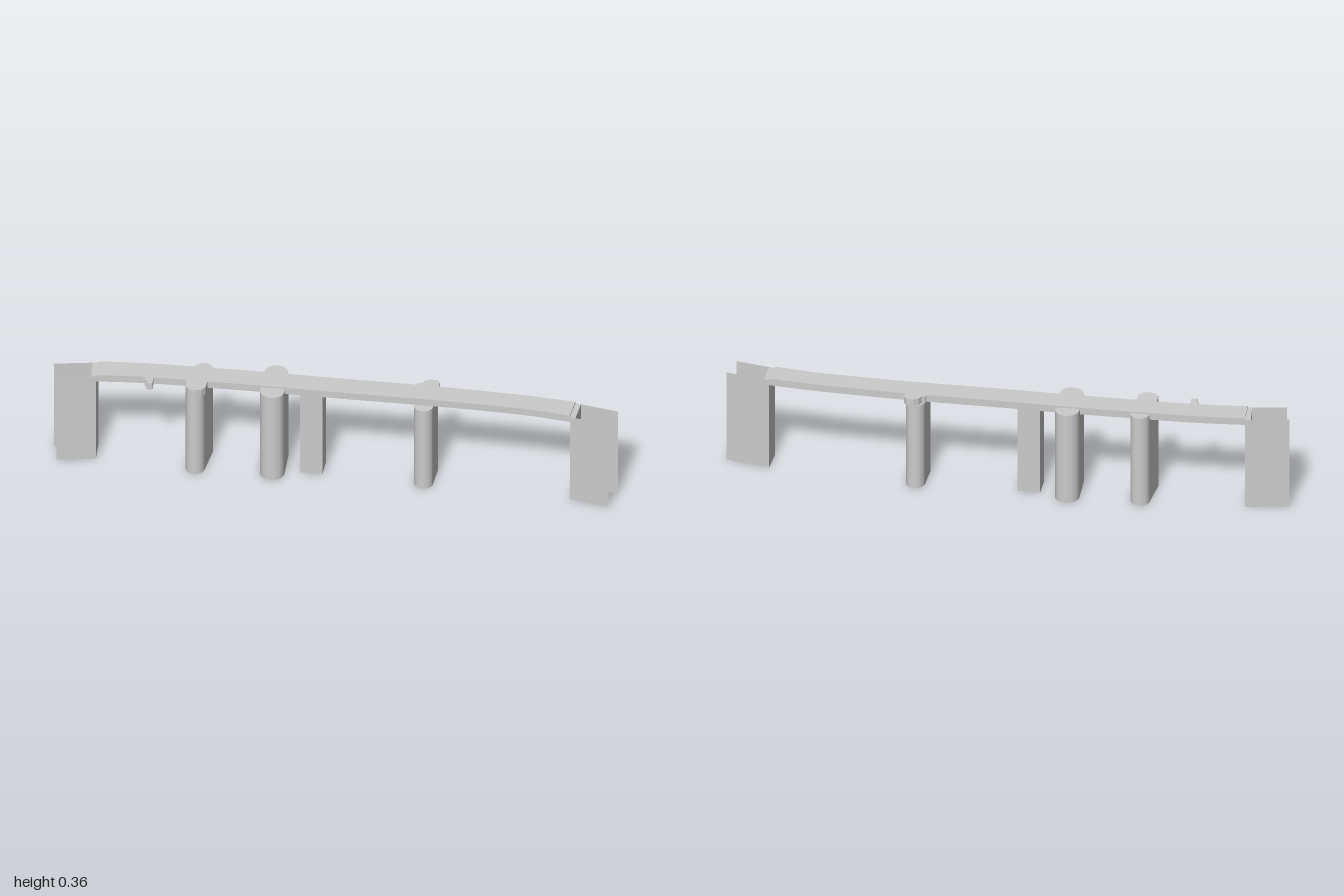
import * as THREE from 'three';

const material = new THREE.MeshStandardMaterial({ color: 0xcccccc, flatShading: true });
const smooth = new THREE.MeshStandardMaterial({ color: 0xcccccc });
const thin = new THREE.MeshStandardMaterial({ color: 0xcccccc, side: THREE.DoubleSide });

// Plan outline in [x, z], raised from y0 to y1
function prism(name, plan, y0, y1, mat = material) {
  const shape = new THREE.Shape(plan.map(([x, z]) => new THREE.Vector2(x, -z)));
  const geometry = new THREE.ExtrudeGeometry(shape, { depth: y1 - y0, bevelEnabled: false });
  geometry.rotateX(-Math.PI / 2).translate(0, y0, 0);
  const mesh = new THREE.Mesh(geometry, mat);
  mesh.name = name;
  return mesh;
}

// Round-ended plan running from a back point to a front point
function capsulePlan([bx, bz], [fx, fz], r, steps = 12) {
  const angle = Math.atan2(fz - bz, fx - bx);
  const plan = [];
  for (const [x, z, turn] of [[fx, fz, -Math.PI / 2], [bx, bz, Math.PI / 2]]) {
    for (let i = 0; i <= steps; i++) {
      const a = angle + turn + (i / steps) * Math.PI;
      plan.push([x + r * Math.cos(a), z + r * Math.sin(a)]);
    }
  }
  return plan;
}

// Sample a smooth deck edge given as [x, z] points
function edge(points) {
  const curve = new THREE.CatmullRomCurve3(points.map(([x, z]) => new THREE.Vector3(x, 0, z)));
  return curve.getPoints(32).map((p) => [p.x, p.z]);
}

// Upright sheet between two plan points
function wall(name, [x0, z0], [x1, z1], height) {
  const geometry = new THREE.PlaneGeometry(Math.hypot(x1 - x0, z1 - z0), height);
  geometry.rotateY(-Math.atan2(z1 - z0, x1 - x0));
  geometry.translate((x0 + x1) / 2, height / 2, (z0 + z1) / 2);
  const mesh = new THREE.Mesh(geometry, thin);
  mesh.name = name;
  return mesh;
}

export function createModel() {
  const group = new THREE.Group();
  const under = 0.335, top = 0.362, wallTop = 0.356;

  // Curved deck
  const back = edge([[-0.845, -0.066], [-0.68, -0.073], [-0.4, -0.069], [-0.2, -0.064],
    [0, -0.055], [0.3, -0.046], [0.5, -0.035], [0.7, -0.02], [0.845, -0.003]]);
  const front = edge([[-0.845, 0.017], [-0.68, 0.009], [-0.4, 0.014], [-0.2, 0.02],
    [0, 0.028], [0.3, 0.037], [0.5, 0.046], [0.7, 0.061], [0.835, 0.081]]);
  group.add(prism('deck', [...back, ...front.reverse()], under, top));

  // Abutments with thin wing walls
  const abutments = [
    { side: 'right', inner: [[-0.845, -0.066], [-0.845, 0.017]],
      outer: [[-0.866, -0.064], [-0.86, 0.02]], ends: [[-1, -0.044], [-0.982, 0.036]] },
    { side: 'left', inner: [[0.845, -0.003], [0.835, 0.081]],
      outer: [[0.865, 0.001], [0.855, 0.085]], ends: [[1, 0.03], [0.975, 0.111]] },
  ];
  for (const { side, inner, outer, ends } of abutments) {
    group.add(prism(`${side}Abutment`, [inner[0], inner[1], outer[1], outer[0]], 0, wallTop));
    group.add(wall(`${side}BackWingWall`, outer[0], ends[0], wallTop));
    group.add(wall(`${side}FrontWingWall`, outer[1], ends[1], wallTop));
  }

  // Round-ended piers
  group.add(prism('rightPier', capsulePlan([-0.475, -0.07], [-0.492, 0.037], 0.034), 0, wallTop, smooth));
  group.add(prism('middlePier', capsulePlan([-0.218, -0.074], [-0.22, 0.036], 0.043), 0, wallTop, smooth));
  group.add(prism('leftPier', capsulePlan([0.322, -0.048], [0.314, 0.04], 0.034), 0, under, smooth));

  // Square pier
  group.add(prism('squarePier', [[-0.12, -0.059], [-0.04, -0.056], [-0.044, 0.025], [-0.124, 0.022]], 0, under));

  // Faceted bays over two piers
  group.add(prism('rightBay', [[-0.525, 0], [-0.525, 0.048], [-0.512, 0.064], [-0.49, 0.07],
    [-0.468, 0.064], [-0.455, 0.048], [-0.45, 0]], under, top));
  group.add(prism('leftBay', [[0.36, -0.03], [0.36, -0.066], [0.35, -0.08], [0.325, -0.083],
    [0.308, -0.074], [0.3, -0.06], [0.285, -0.056], [0.285, -0.03]], under, top));

  // Small bracket on the front edge
  group.add(prism('bracket', [[-0.672, 0], [-0.672, 0.025], [-0.663, 0.029], [-0.663, 0.045],
    [-0.642, 0.045], [-0.642, 0]], under, top));
  return group;
}
